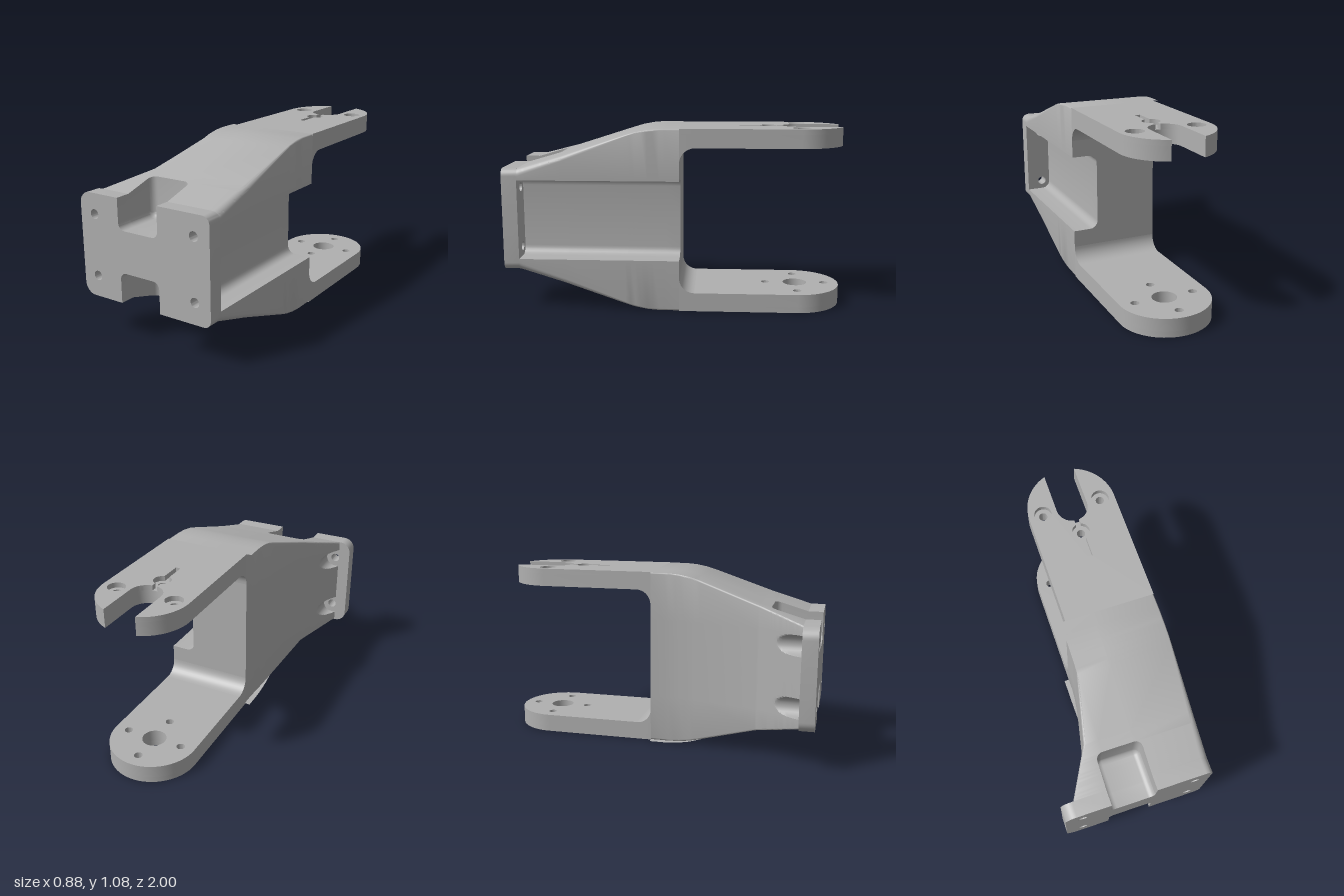
import * as THREE from 'three';
import { toCreasedNormals } from 'three/addons/utils/BufferGeometryUtils.js';

const H = 1.075, MID = H / 2, RIGHT = 0.435, LEFT = -0.1;
const BACK = -0.035, PLATE = 0.91, NOTCH = 0.71;

// Profiles along z: top height, left edge and right edge radius
const TOP = [[-0.035, 1.075], [0.08, 1.075], [0.15, 1.069], [0.22, 1.056], [0.28, 1.038], [0.65, 0.916], [0.91, 0.84]];
const SIDE = [[-0.035, -0.1], [0.05, -0.1], [0.12, -0.105], [0.22, -0.12], [0.64, -0.215], [0.91, -0.365]];
const ROUND = [[-0.035, 0.012], [0.25, 0.012], [0.91, 0.045]];

function lookup(table, z) {
  for (let i = 1; i < table.length; i++) {
    const [z0, v0] = table[i - 1], [z1, v1] = table[i];
    if (z <= z1 + 1e-6) return v0 + (v1 - v0) * (z - z0) / (z1 - z0);
  }
  return table[table.length - 1][1];
}

function arc(cx, cy, r, a0, a1, n = 8) {
  return Array.from({ length: n + 1 }, (_, i) => {
    const a = a0 + (a1 - a0) * i / n;
    return [cx + r * Math.cos(a), cy + r * Math.sin(a)];
  });
}

const toVectors = pts => pts.map(p => new THREE.Vector2(p[0], p[1]));
const toShape = pts => new THREE.Shape(toVectors(pts));
const mirrorY = pts => pts.map(([x, y]) => [x, H - y]);
// Close an upper half (right to left) with its mirror image
const closeHalf = half => [...half, ...mirrorY(half).reverse().slice(1, -1)];

function circle(x, y, r) {
  const p = new THREE.Path();
  p.absarc(x, y, r, 0, Math.PI * 2, true);
  return p;
}

function extrude(shape, depth) {
  return new THREE.ExtrudeGeometry(shape, { depth, bevelEnabled: false, curveSegments: 20 });
}

// Rounded notch outline, right to left; it narrows towards its back wall
function notch(top, z, cut) {
  const R = 0.04, t = Math.min(1, Math.max(0, (z - NOTCH) / R));
  const inset = R * (1 - Math.sqrt(1 - (1 - t) ** 2)), r = R - inset;
  const xr = 0.1 - inset, xl = -0.17 + inset, floor = 0.66 + inset;
  const pts = [[xr, top],
    ...arc(xr - r, floor + r, r, 0, -Math.PI / 2, 6),
    ...arc(xl + r, floor + r, r, -Math.PI / 2, -Math.PI, 6), [xl, top]];
  return cut ? pts : pts.map(([x]) => [x, top]);
}

// Body cross-section at z, with side pocket, notches and screw clearances
function section(z, cut) {
  const top = lookup(TOP, z), xl = lookup(SIDE, z), r = lookup(ROUND, z), rl = 0.012;
  const wall = 0.7725, floor = 0.28, f = 0.05;
  const half = [[floor, MID],
    ...arc(floor + f, wall - f, f, Math.PI, Math.PI / 2, 6),
    [RIGHT, wall],
    ...arc(RIGHT - r, top - r, r, 0, Math.PI / 2, 6),
    ...notch(top, z, cut),
    ...arc(xl + rl, top - rl, rl, Math.PI / 2, Math.PI, 4),
    [xl, 0.781]];
  for (const [x, y] of arc(-0.34, 0.72, 0.06, Math.PI / 2, -Math.PI / 2, 14)) half.push([Math.max(xl, x), y]);
  half.push([xl, 0.659], [xl, MID]);
  return closeHalf(half);
}

function bodyGeometry() {
  const steps = [BACK, 0.05, 0.08, 0.12, 0.15, 0.185, 0.22, 0.25, 0.28, 0.64, 0.65, NOTCH].map(z => [z, false]);
  for (const d of [0, 0.002, 0.006, 0.012, 0.02, 0.03, 0.04]) steps.push([NOTCH + d, true]);
  for (let z = 0.76; z < PLATE + 0.001; z += 0.01) steps.push([z, true]);
  const pos = [], index = [];
  const loops = steps.map(([z, cut]) => section(z, cut));
  const n = loops[0].length;
  loops.forEach((loop, i) => loop.forEach(([x, y]) => pos.push(x, y, steps[i][0])));
  for (let i = 0; i < loops.length - 1; i++) {
    for (let j = 0; j < n; j++) {
      const a = i * n + j, b = i * n + (j + 1) % n;
      index.push(a, b, b + n, a, b + n, a + n);
    }
  }
  // Back face, without the flat notch points
  const seen = loops[0].map((p, j) => j).filter(j => {
    const p = loops[0][j], q = loops[0][(j + 1) % n];
    return Math.hypot(p[0] - q[0], p[1] - q[1]) > 1e-6;
  });
  for (const [a, b, c] of THREE.ShapeUtils.triangulateShape(toVectors(seen.map(j => loops[0][j])), [])) {
    index.push(seen[a], seen[c], seen[b]);
  }
  const g = new THREE.BufferGeometry();
  g.setAttribute('position', new THREE.Float32BufferAttribute(pos, 3));
  g.setIndex(index);
  return g;
}

export function createModel() {
  const model = new THREE.Group();
  model.name = 'forkBracket';
  const metal = new THREE.MeshStandardMaterial({ color: 0xb0b0b0, side: THREE.DoubleSide });
  metal.name = 'grey metal';

  const add = (name, geometry, parent = model) => {
    const mesh = new THREE.Mesh(toCreasedNormals(geometry, 0.45), metal);
    mesh.name = name;
    parent.add(mesh);
    return mesh;
  };

  add('body', bodyGeometry());

  // Mounting plate with four screw holes
  const plate = toShape(closeHalf([[RIGHT, MID],
    ...arc(RIGHT - 0.045, 0.795, 0.045, 0, Math.PI / 2),
    ...notch(0.84, 1, true),
    ...arc(-0.44 + 0.068, 0.772, 0.068, Math.PI / 2, Math.PI),
    [-0.44, MID]]));
  for (const x of [-0.34, 0.335]) for (const y of [0.36, 0.72]) plate.holes.push(circle(x, y, 0.028));
  add('mountingPlate', extrude(plate, 0.09).translate(0, 0, PLATE));

  // Fillets between web and arms
  const fillet = [[0.035, 0.965], ...arc(0.125, 0.875, 0.09, Math.PI / 2, Math.PI, 10)];
  for (const [name, pts] of [['upperFillet', fillet], ['lowerFillet', mirrorY(fillet)]]) {
    add(name, extrude(toShape(pts), RIGHT - LEFT).rotateY(Math.PI / 2).translate(LEFT, 0, 0));
  }

  // Arms, drawn in plan as (x, -z) and stacked in two layers each
  const PI = Math.PI, cx = 0.167, cz = 0.73, R = 0.268, slot = 0.095, bore = 0.052, w = 0.015;
  const pin = 0.555, a = Math.acos(slot / R), d = Math.asin(w / slot), g = Math.asin(w / bore);
  const armShape = (inner, holes, r) => {
    const tip = inner
      ? [...arc(cx, cz, R, 0, a, 16), ...inner, ...arc(cx, cz, R, PI - a, PI, 16)]
      : arc(cx, cz, R, 0, PI, 40);
    const s = toShape([[RIGHT, 0.035], ...tip, [LEFT, 0.035]]);
    for (const [x, y] of holes) s.holes.push(circle(x, y, r));
    return s;
  };
  const layer = (name, shape, y0, y1, parent) =>
    add(name, extrude(shape, y1 - y0).rotateX(-PI / 2).translate(0, y0, 0), parent);
  const sides = [[cx - 0.18, 0.735], [cx + 0.18, 0.735]];
  const front = [cx, pin], rear = [cx, 0.912];

  // Upper arm: open slot, counterbores and alignment groove
  const upper = new THREE.Group();
  upper.name = 'upperArm';
  model.add(upper);
  const plainSlot = arc(cx, cz, slot, 0, -PI, 24);
  const groovedSlot = [...arc(cx, cz, slot, 0, -PI / 2 + d, 12),
    ...arc(cx, pin, bore, PI / 2 - g, -PI / 2 + g, 12),
    [cx + w, 0.38], [cx - w, 0.38],
    ...arc(cx, pin, bore, -PI / 2 - g, -1.5 * PI + g, 12),
    ...arc(cx, cz, slot, -PI / 2 - d, -PI, 12)];
  layer('upperArmBase', armShape(plainSlot, [...sides, front], 0.025), 0.965, 1.045, upper);
  layer('upperArmFace', armShape(groovedSlot, sides, bore), 1.045, H, upper);

  // Lower arm: central bore and four holes counterbored from below
  const lower = new THREE.Group();
  lower.name = 'lowerArm';
  model.add(lower);
  for (const [name, r, y0, y1] of [['lowerArmFace', bore, 0, 0.035], ['lowerArmBase', 0.025, 0.035, 0.11]]) {
    const s = armShape(null, [...sides, front, rear], r);
    s.holes.push(circle(cx, cz + 0.005, 0.072));
    layer(name, s, y0, y1, lower);
  }
  return model;
}
